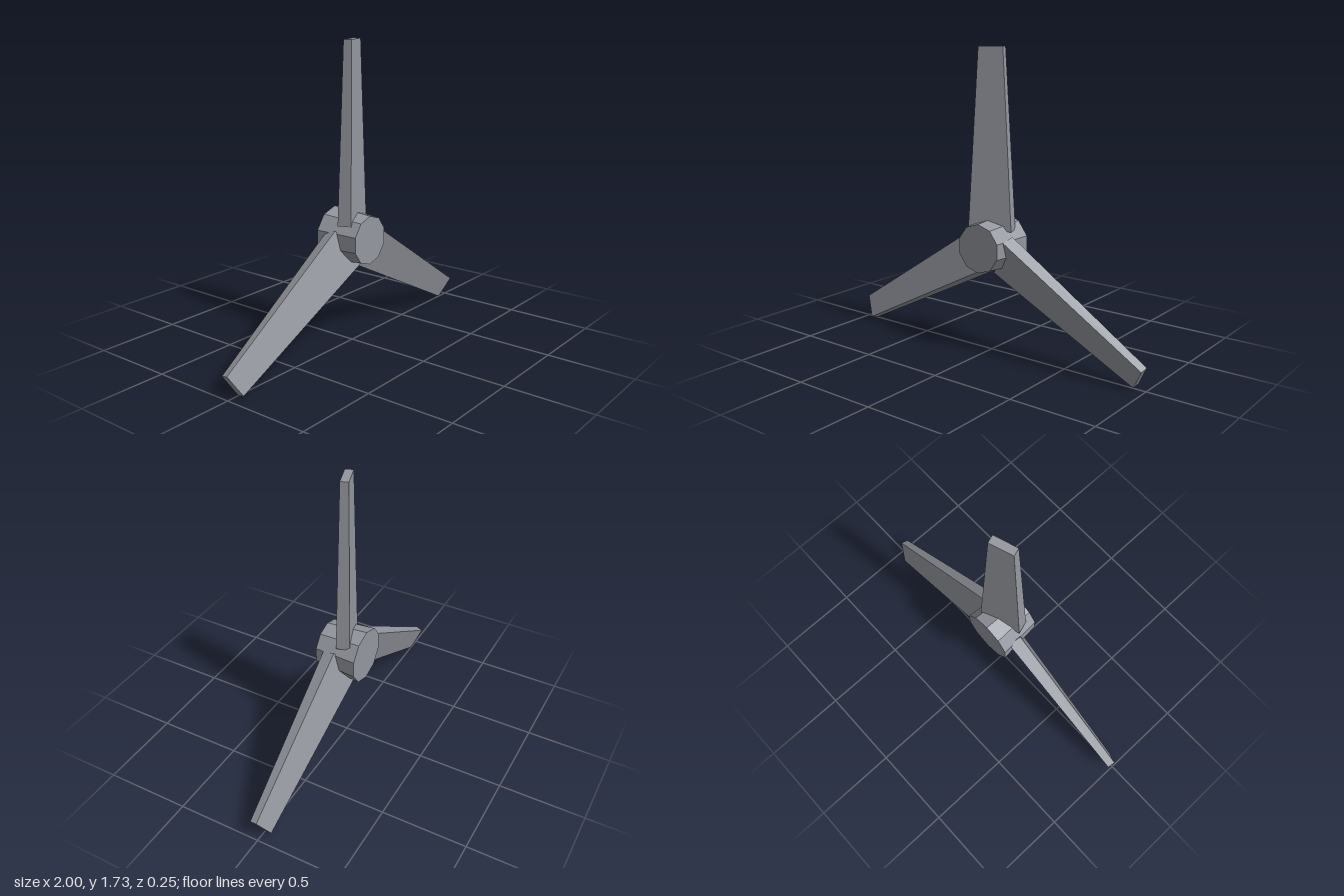
import * as THREE from 'three';

const CENTRE_Y = 0.62;
const ROOT = 0.093; // blade start, measured from the hub axis
const TIP = 1.111;  // blade end

const material = new THREE.MeshStandardMaterial({ color: 0x94979f, flatShading: true });

// Tapered box along +y, pitched about its own length
function bladeGeometry() {
  const geo = new THREE.BoxGeometry(1, TIP - ROOT, 1);
  geo.translate(0, (TIP + ROOT) / 2, 0);
  const pos = geo.attributes.position;
  for (let i = 0; i < pos.count; i++) {
    const tip = pos.getY(i) > (TIP + ROOT) / 2;
    pos.setX(i, pos.getX(i) * (tip ? 0.142 : 0.254));
    pos.setZ(i, pos.getZ(i) * (tip ? 0.047 : 0.079));
  }
  geo.rotateY(0.32);
  geo.computeVertexNormals();
  return geo;
}

export function createModel() {
  const model = new THREE.Group();
  model.name = 'rotor';

  // Ten-sided hub, slightly wider at the back
  const hubGeo = new THREE.CylinderGeometry(0.14, 0.161, 0.254, 10);
  hubGeo.rotateX(Math.PI / 2);
  const hub = new THREE.Mesh(hubGeo, material);
  hub.name = 'hub';
  hub.position.y = CENTRE_Y + 0.003;
  model.add(hub);

  // Three blades at equal angles
  const geo = bladeGeometry();
  ['topBlade', 'rightBlade', 'leftBlade'].forEach((name, i) => {
    const blade = new THREE.Mesh(geo, material);
    blade.name = name;
    blade.position.y = CENTRE_Y;
    blade.rotation.z = (i * Math.PI * 2) / 3;
    model.add(blade);
  });

  return model;
}
